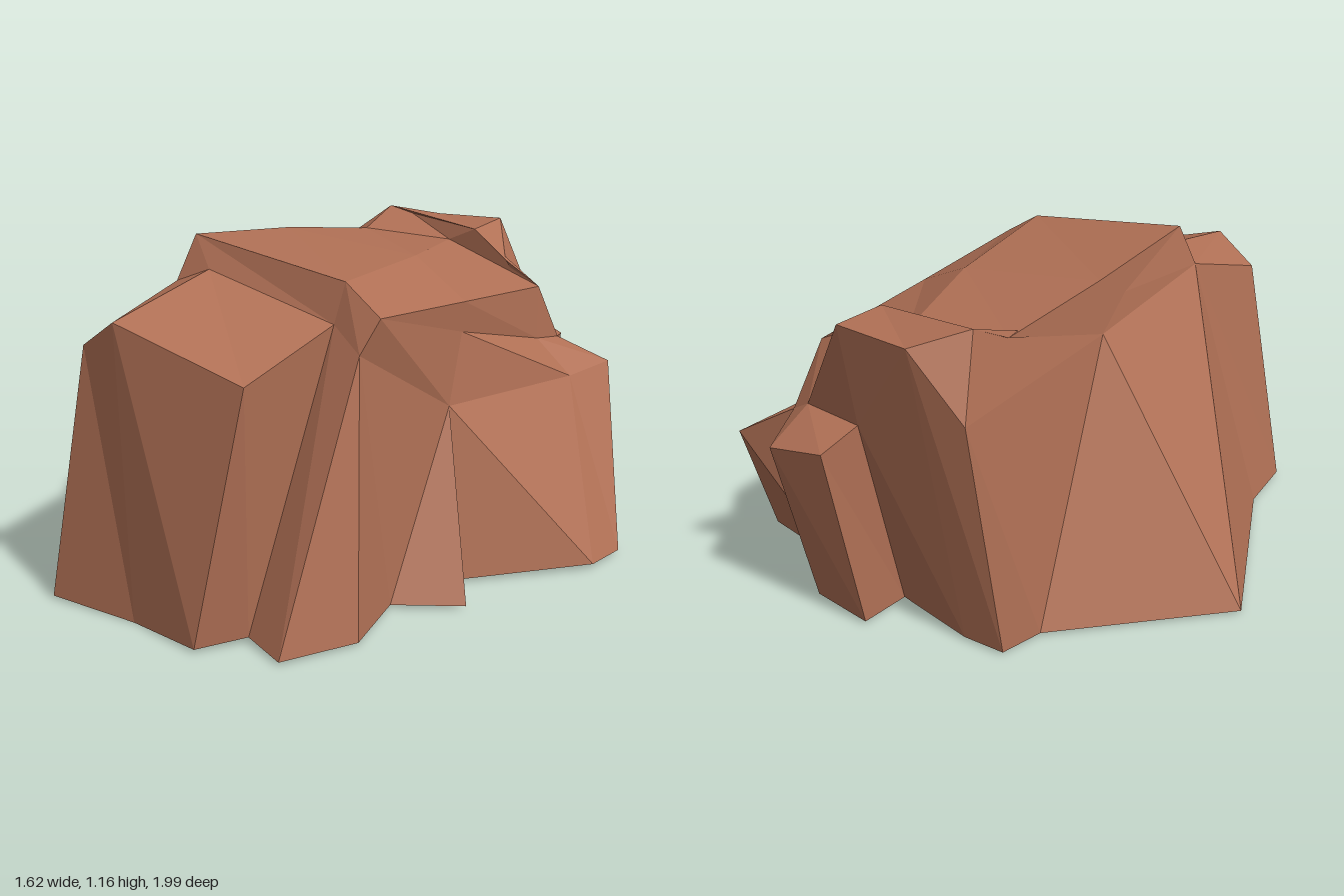
import * as THREE from 'three';

const rock = new THREE.MeshStandardMaterial({ color: 0xb07055, side: THREE.DoubleSide, flatShading: true });
rock.name = 'red sandstone';

// Skins neighbouring columns of points (each column runs from bottom to top) with flat facets
function skin(name, columns) {
  const out = [];
  const tri = (p, q, r) => {
    const [a, b, c] = [p, q, r].map((v) => new THREE.Vector3(...v));
    const area = b.clone().sub(a).cross(c.clone().sub(a)).length();
    if (area > 1e-6) out.push(...p, ...q, ...r);
  };
  for (let i = 0; i < columns.length - 1; i++) {
    const l = columns[i], r = columns[i + 1];
    for (let k = 0; k < l.length - 1; k++) {
      tri(l[k], r[k], l[k + 1]);
      tri(r[k], r[k + 1], l[k + 1]);
    }
  }
  const geometry = new THREE.BufferGeometry();
  geometry.setAttribute('position', new THREE.Float32BufferAttribute(out, 3));
  geometry.computeVertexNormals();
  const mesh = new THREE.Mesh(geometry, rock);
  mesh.name = name;
  return mesh;
}

export function createModel() {
  const group = new THREE.Group();
  group.name = 'rock';

  // Corners of the top slab
  const peak = [-0.22, 1.16, 0.42], brow = [0.39, 1.08, 0.33], corner = [0.54, 0.99, 0.33];
  const rightRim = [0.45, 0.945, -0.17], backRim = [0.36, 0.9, -0.69], saddle = [-0.02, 1.03, -0.63];
  const leftRim = [-0.33, 1.05, -0.5], leftMid = [-0.3, 1.11, -0.07];

  // Corners of the sides
  const shoulder = [-0.24, 1.01, 0.49], notch = [0.38, 0.95, 0.37], finTop = [0.51, 0.88, 0.39];
  const knee = [0.465, 0.605, -0.085], lumpInner = [0.36, 0.69, -0.82], leftWall = [-0.3, 0.92, -0.05];
  const blockFoot = [0.285, 0.01, -0.835], block = [0.25, 0.65, -0.995];
  const shelf = [0.27, 0.74, -0.825], ledge = [0.03, 0.74, -0.81];

  // Corners of the crown at the back
  const step = [0.235, 0.985, -0.65], crest = [0.04, 1.09, -0.857], crest2 = [-0.23, 1.08, -0.815];
  const horn = [-0.33, 1.12, -0.64], hornFront = [-0.23, 1.1, -0.655], knob = [0.09, 1.08, -0.645];

  // Columns shared by neighbouring sides: base, shoulder, ledge, rim
  const frontLeft = [[-0.38, 0.01, 0.75], shoulder, shoulder, peak];
  const finEnd = [[0.63, 0.01, 0.51], finTop, finTop, corner];
  const lumpEnd = [[0.46, 0.01, -0.66], lumpInner, lumpInner, backRim];
  const backLeft = [[-0.42, 0.01, -0.46], leftWall, leftWall, leftRim];

  // Front buttress and the narrow fin beside it
  group.add(skin('frontButtress', [
    frontLeft,
    [[-0.31, 0.01, 0.995], [-0.18, 0.88, 0.91], shoulder, peak],
    [[0.02, 0, 0.91], [-0.02, 0.98, 0.91], [-0.12, 1.06, 0.45], peak],
    [[0.31, 0.01, 0.9], [0.44, 0.85, 0.79], notch, brow],
    [[0.38, 0.02, 0.74], notch, notch, brow],
    [[0.55, 0.01, 0.77], finTop, finTop, corner],
    finEnd,
  ]));

  // Side with the small spur and the large lump
  group.add(skin('spurAndLump', [
    finEnd,
    [[0.52, 0.01, 0.25], knee, corner, corner],
    [[0.7, 0.01, 0.08], knee, corner, corner],
    [[0.48, 0.01, 0.065], knee, [0.44, 0.84, -0.17], rightRim],
    [[0.81, 0.02, -0.47], [0.495, 0.585, -0.72], [0.37, 0.71, -0.68], backRim],
    [[0.79, 0.01, -0.655], [0.505, 0.6, -0.945], lumpInner, backRim],
    lumpEnd,
  ]));

  // Back wall with its low block
  group.add(skin('backWall', [
    lumpEnd,
    [blockFoot, block, shelf, step],
    [blockFoot, block, shelf, crest],
    [[0.04, 0.01, -0.825], [0.03, 0.69, -0.957], ledge, crest],
    [[0.06, 0.01, -0.64], ledge, ledge, crest],
    [[-0.26, 0.01, -0.65], crest2, crest2, crest2],
    [[-0.41, 0.01, -0.62], [-0.385, 0.85, -0.73], [-0.385, 0.85, -0.73], horn],
    backLeft,
  ]));

  // Sloping side running out to a point on the ground
  group.add(skin('slopingSide', [
    backLeft,
    [[-0.81, 0.01, 0.11], shoulder, shoulder, peak],
    frontLeft,
  ]));
  group.add(skin('sideRim', [[leftWall, leftRim], [leftWall, leftMid], [leftWall, peak]]));

  // Top slab
  group.add(skin('topSlab', [
    [peak, leftMid, leftRim],
    [brow, [0.2, 1.06, -0.2], saddle],
    [corner, rightRim, backRim],
  ]));

  // Crown: steep front edge, then roof facets fanned around the knob
  group.add(skin('crownFront', [
    [leftRim, horn], [leftRim, hornFront], [saddle, knob], [backRim, step],
  ]));
  group.add(skin('crownRoof', [hornFront, horn, crest2, crest, step].map((p) => [knob, p])));

  return group;
}
